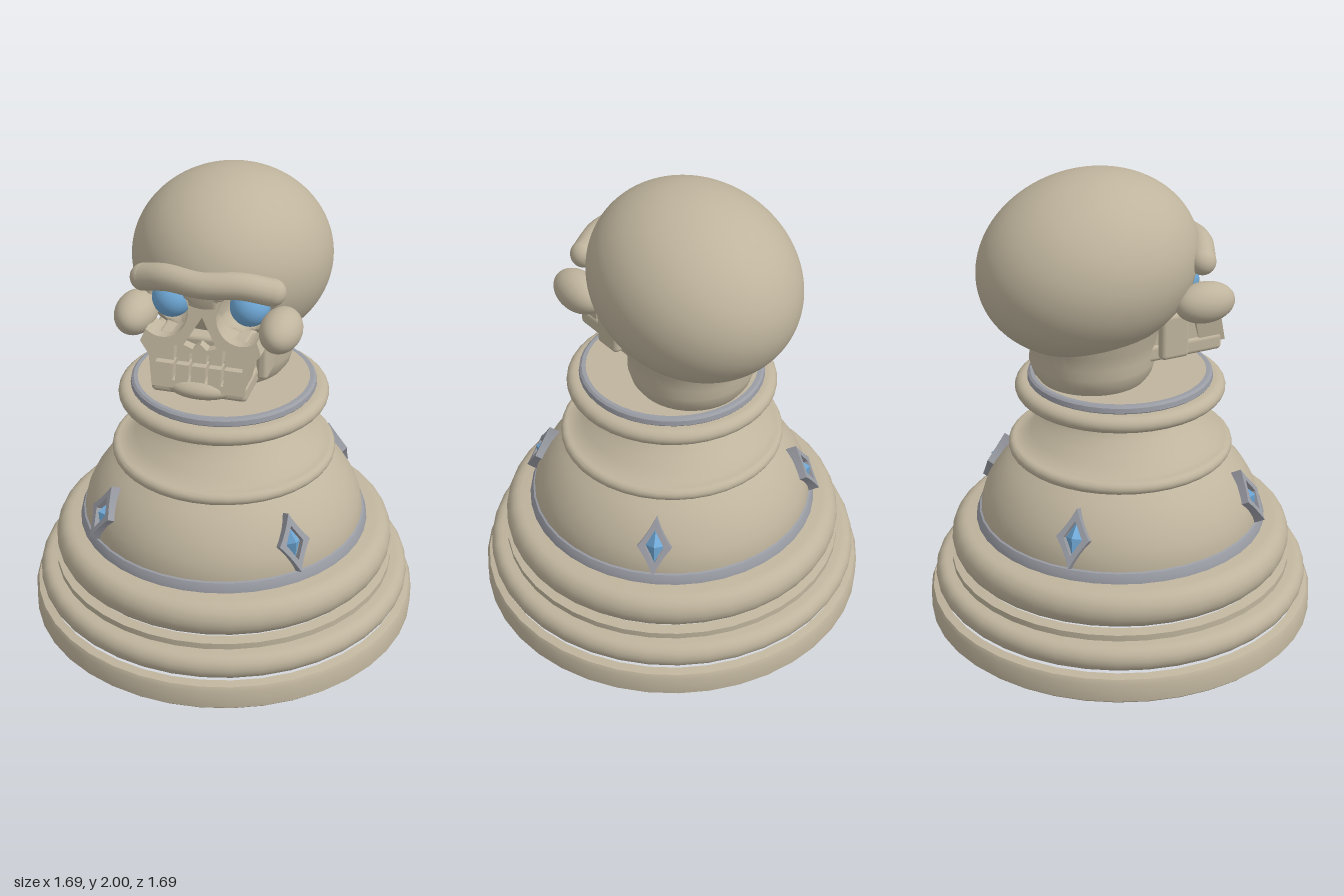
import * as THREE from 'three';
import { toCreasedNormals } from 'three/addons/utils/BufferGeometryUtils.js';
import { RoundedBoxGeometry } from 'three/addons/geometries/RoundedBoxGeometry.js';

const material = (name, color) => {
  const m = new THREE.MeshStandardMaterial({ color });
  m.name = name;
  return m;
};

export function createModel() {
  const bone = material('bone', 0xbfb49d);
  const silver = material('silver', 0x9a9ca4);
  const blue = material('blue', 0x6fa8d6);
  const model = new THREE.Group();
  model.name = 'skullPawn';

  const add = (name, geometry, mat, parent = model) => {
    const mesh = new THREE.Mesh(geometry, mat);
    mesh.name = name;
    parent.add(mesh);
    return mesh;
  };
  const lathe = (name, points, mat) => add(name, toCreasedNormals(
    new THREE.LatheGeometry(points.map(([x, y]) => new THREE.Vector2(x, y)), 40), 0.6), mat);
  const ellipsoid = (name, [x, y, z], [rx, ry, rz], mat) => add(name,
    new THREE.SphereGeometry(1, 32, 24).scale(rx, ry, rz).translate(x, y, z), mat);
  const block = (name, [w, h, d], [x, y, z], r = 0.02) => add(name,
    new RoundedBoxGeometry(w, h, d, 3, r).translate(x, y, z), bone);

  // Half-round moulding between two heights
  const bead = (outer, y0, y1, depth) => Array.from({ length: 11 }, (_, i) => {
    const a = -Math.PI / 2 + Math.PI * i / 10;
    return [outer - depth + depth * Math.cos(a), (y0 + y1) / 2 + (y1 - y0) / 2 * Math.sin(a)];
  });

  // Turned base
  lathe('plinth', [[0, 0], [0.835, 0], [0.845, 0.01], [0.845, 0.09], [0.835, 0.11], [0.8, 0.118]], bone);
  lathe('lowerMoulding', [[0.77, 0.115], ...bead(0.82, 0.12, 0.232, 0.05), [0.745, 0.235],
    [0.745, 0.262], [0.7, 0.27]], bone);
  lathe('upperMoulding', [[0.66, 0.27], ...bead(0.742, 0.27, 0.43, 0.07), [0.62, 0.435]], bone);
  lathe('baseBand', [[0.62, 0.428], [0.632, 0.435], [0.628, 0.455], [0.618, 0.475], [0.6, 0.482]], silver);
  lathe('dome', [[0.61, 0.475], [0.607, 0.51], [0.593, 0.56], [0.568, 0.61], [0.535, 0.66],
    [0.49, 0.71], [0.43, 0.757]], bone);
  lathe('waistAndCollar', [[0.42, 0.755], ...bead(0.482, 0.757, 0.812, 0.028), [0.425, 0.815],
    [0.385, 0.845], [0.34, 0.88], [0.3, 0.918], [0.272, 0.955], [0.262, 0.985], [0.28, 1.0],
    [0.36, 1.012], ...bead(0.448, 1.015, 1.088, 0.04), [0.38, 1.088]], bone);
  lathe('collarBand', [[0.39, 1.085], [0.395, 1.092], [0.392, 1.112], [0.382, 1.12], [0.365, 1.12]], silver);
  lathe('collarTop', [[0.366, 1.119], [0, 1.119]], bone);

  // Four diamond ornaments around the dome
  const diamond = (path, w, h, pinch) => {
    path.moveTo(0, -h);
    for (const [x, y, sx, sy] of [[w, 0, 1, -1], [0, h, 1, 1], [-w, 0, -1, 1], [0, -h, -1, -1]]) {
      path.quadraticCurveTo(sx * w * pinch, sy * h * pinch, x, y);
    }
    return path;
  };
  const frameShape = diamond(new THREE.Shape(), 0.072, 0.125, 0.42);
  frameShape.holes.push(diamond(new THREE.Path(), 0.04, 0.073, 0.5));
  const frameGeometry = new THREE.ExtrudeGeometry(frameShape,
    { depth: 0.05, bevelEnabled: false, curveSegments: 6 }).translate(0, 0, -0.025);
  const gemGeometry = toCreasedNormals(new THREE.ConeGeometry(1, 0.045, 4)
    .rotateX(Math.PI / 2).scale(0.042, 0.076, 1).translate(0, 0, 0.014), 0.1);
  for (let i = 0; i < 4; i++) {
    const turn = new THREE.Group();
    turn.name = 'ornament';
    turn.rotation.y = Math.PI / 4 + i * Math.PI / 2;
    const mount = new THREE.Group();
    mount.position.set(0, 0.6, 0.576);
    mount.rotation.x = -0.47;
    add('ornamentFrame', frameGeometry, silver, mount);
    add('ornamentGem', gemGeometry, blue, mount);
    turn.add(mount);
    model.add(turn);
  }

  // Cranium: tilted ellipsoid with hollowed eye sockets
  const eyeX = 0.163, eyeY = 1.55, socketR = 0.105;
  const cranium = new THREE.SphereGeometry(1, 128, 96).scale(0.415, 0.375, 0.47)
    .rotateX(-0.2).translate(0, 1.621, -0.145);
  const p = cranium.attributes.position;
  for (let i = 0; i < p.count; i++) {
    const d = Math.hypot(Math.abs(p.getX(i)) - eyeX, p.getY(i) - eyeY);
    if (p.getZ(i) > 0 && d < socketR) {
      p.setZ(i, Math.min(p.getZ(i), 0.27 - 1.4 * Math.sqrt(socketR ** 2 - d ** 2)));
    }
  }
  cranium.computeVertexNormals();
  add('cranium', cranium, bone);
  lathe('neck', [[0, 1.115], [0.225, 1.115], [0.25, 1.15], [0.265, 1.2], [0.262, 1.24], [0.275, 1.3],
    [0.29, 1.36]], bone).position.z = -0.13;

  // Face plate with socket rims, nose opening and tooth gaps
  const face = new THREE.Shape();
  const rad = THREE.MathUtils.degToRad;
  face.moveTo(-0.19, 1.25);
  face.lineTo(0.19, 1.25);
  face.lineTo(0.21, 1.37);
  face.lineTo(0.25, 1.42);
  face.absarc(eyeX, eyeY, socketR, rad(309), rad(145), true);
  face.absarc(-eyeX, eyeY, socketR, rad(35), rad(-129), true);
  face.lineTo(-0.25, 1.42);
  face.lineTo(-0.21, 1.37);
  face.closePath();
  const outline = points => new THREE.Path(points.map(([x, y]) => new THREE.Vector2(x, y)));
  const gaps = [-0.1, -0.035, 0.035, 0.1];
  const lower = gaps.flatMap(x => [[x - 0.006, 1.345], [x - 0.006, 1.28], [x + 0.006, 1.28], [x + 0.006, 1.345]]);
  const upper = gaps.flatMap(x => {
    const y = Math.abs(x) > 0.05 ? 1.42 : 1.395;
    return [[x - 0.006, 1.36], [x - 0.006, y], [x + 0.006, y], [x + 0.006, 1.36]];
  }).reverse();
  face.holes.push(
    outline([[0, 1.54], [0.068, 1.425], [0.03, 1.412], [0, 1.435], [-0.03, 1.412], [-0.068, 1.425]]),
    outline([[-0.18, 1.345], ...lower, [0.18, 1.345], [0.18, 1.36], ...upper, [-0.18, 1.36]]));
  const faceGeometry = new THREE.ExtrudeGeometry(face, { depth: 0.12, bevelEnabled: false, curveSegments: 20 });
  const f = faceGeometry.attributes.position;
  for (let i = 0; i < f.count; i++) f.setZ(i, f.getZ(i) + 0.21 + (1.5 - f.getY(i)) * 0.27);
  add('facePlate', toCreasedNormals(faceGeometry, 0.5), bone);

  // Jaw
  block('upperJaw', [0.38, 0.22, 0.35], [0, 1.34, 0.135]);
  block('lowerJaw', [0.4, 0.075, 0.36], [0, 1.248, 0.2]);
  ellipsoid('chin', [0, 1.245, 0.345], [0.14, 0.047, 0.077], bone);

  // Brow ridge
  const browPoints = [[-0.265, 1.648, 0.24], [-0.15, 1.682, 0.287], [0, 1.678, 0.31],
    [0.15, 1.682, 0.287], [0.265, 1.648, 0.24]].map(v => new THREE.Vector3(...v));
  add('brow', new THREE.TubeGeometry(new THREE.CatmullRomCurve3(browPoints), 32, 0.056, 16), bone);

  for (const s of [-1, 1]) {
    ellipsoid('browEnd', [s * 0.265, 1.648, 0.24], [0.056, 0.056, 0.056], bone);
    ellipsoid('cheekbone', [s * 0.302, 1.485, 0.235], [0.085, 0.085, 0.132], bone);
    ellipsoid('eye', [s * eyeX, eyeY, 0.19], [0.082, 0.082, 0.082], blue);
    block('jawHinge', [0.05, 0.2, 0.13], [s * 0.215, 1.325, 0.14]);
  }
  return model;
}
